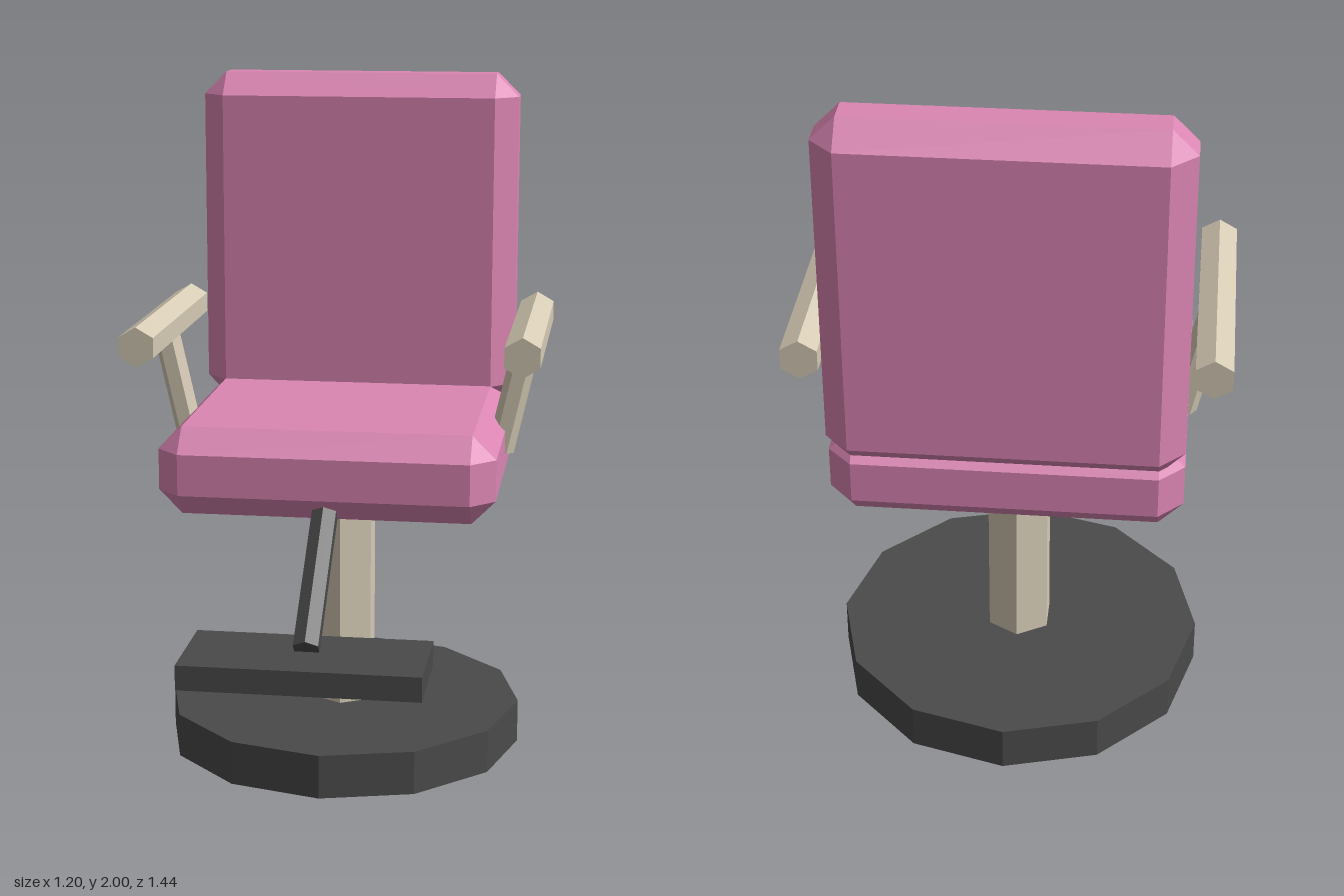
import * as THREE from 'three';
import { ConvexGeometry } from 'three/addons/geometries/ConvexGeometry.js';

const material = (name, color) => {
  const m = new THREE.MeshStandardMaterial({ color, flatShading: true });
  m.name = name;
  return m;
};

// Box with flat chamfers on every edge, hulled from three inset points per corner
function chamferBox(w, h, d, c) {
  const pts = [];
  for (const sx of [-1, 1]) for (const sy of [-1, 1]) for (const sz of [-1, 1]) {
    const x = w / 2, y = h / 2, z = d / 2;
    pts.push(
      new THREE.Vector3(sx * x, sy * (y - c), sz * (z - c)),
      new THREE.Vector3(sx * (x - c), sy * y, sz * (z - c)),
      new THREE.Vector3(sx * (x - c), sy * (y - c), sz * z));
  }
  return new ConvexGeometry(pts);
}

export function createModel() {
  const group = new THREE.Group();
  group.name = 'salonChair';
  const pink = material('pink upholstery', 0xdb86b3);
  const tan = material('tan frame', 0xd6cbb5);
  const dark = material('dark metal', 0x4a4a4a);

  const add = (name, geometry, mat, x = 0, y = 0, z = 0) => {
    const mesh = new THREE.Mesh(geometry, mat);
    mesh.name = name;
    mesh.position.set(x, y, z);
    group.add(mesh);
    return mesh;
  };

  // Six-sided bar between two points; spin turns it about its own length
  const bar = (name, a, b, radius, mat, spin = 0) => {
    const from = new THREE.Vector3(...a), to = new THREE.Vector3(...b);
    const dir = to.clone().sub(from);
    const geo = new THREE.CylinderGeometry(radius, radius, dir.length(), 6);
    geo.rotateY(spin);
    const mesh = add(name, geo, mat);
    mesh.position.copy(from).lerp(to, 0.5);
    mesh.quaternion.setFromUnitVectors(new THREE.Vector3(0, 1, 0), dir.normalize());
    return mesh;
  };

  // Pedestal
  const axisZ = -0.184;
  add('base', new THREE.CylinderGeometry(0.535, 0.535, 0.13, 12), dark, 0, 0.065, axisZ);
  bar('post', [0, 0.1, axisZ], [0, 0.84, axisZ], 0.1, tan);

  // Cushions
  add('seat', chamferBox(0.967, 0.256, 0.916, 0.068), pink, 0, 0.922, -0.184);
  add('backrest', chamferBox(0.967, 1.02, 0.216, 0.068), pink, 0, 1.49, -0.565);

  // Arms
  for (const [side, s] of [['left', 1], ['right', -1]]) {
    bar(side + 'Armrest', [s * 0.549, 1.27, -0.585], [s * 0.549, 1.27, 0.184], 0.058, tan);
    bar(side + 'ArmSupport', [s * 0.469, 0.918, axisZ], [s * 0.547, 1.27, axisZ], 0.04, tan, Math.PI / 2);
  }

  // Footrest
  bar('footrestStrut', [0, 0.524, 0.567], [0, 0.9, 0.119], 0.04, dark);
  add('footrest', new THREE.BoxGeometry(0.665, 0.07, 0.3), dark, 0, 0.48, 0.569);

  return group;
}
